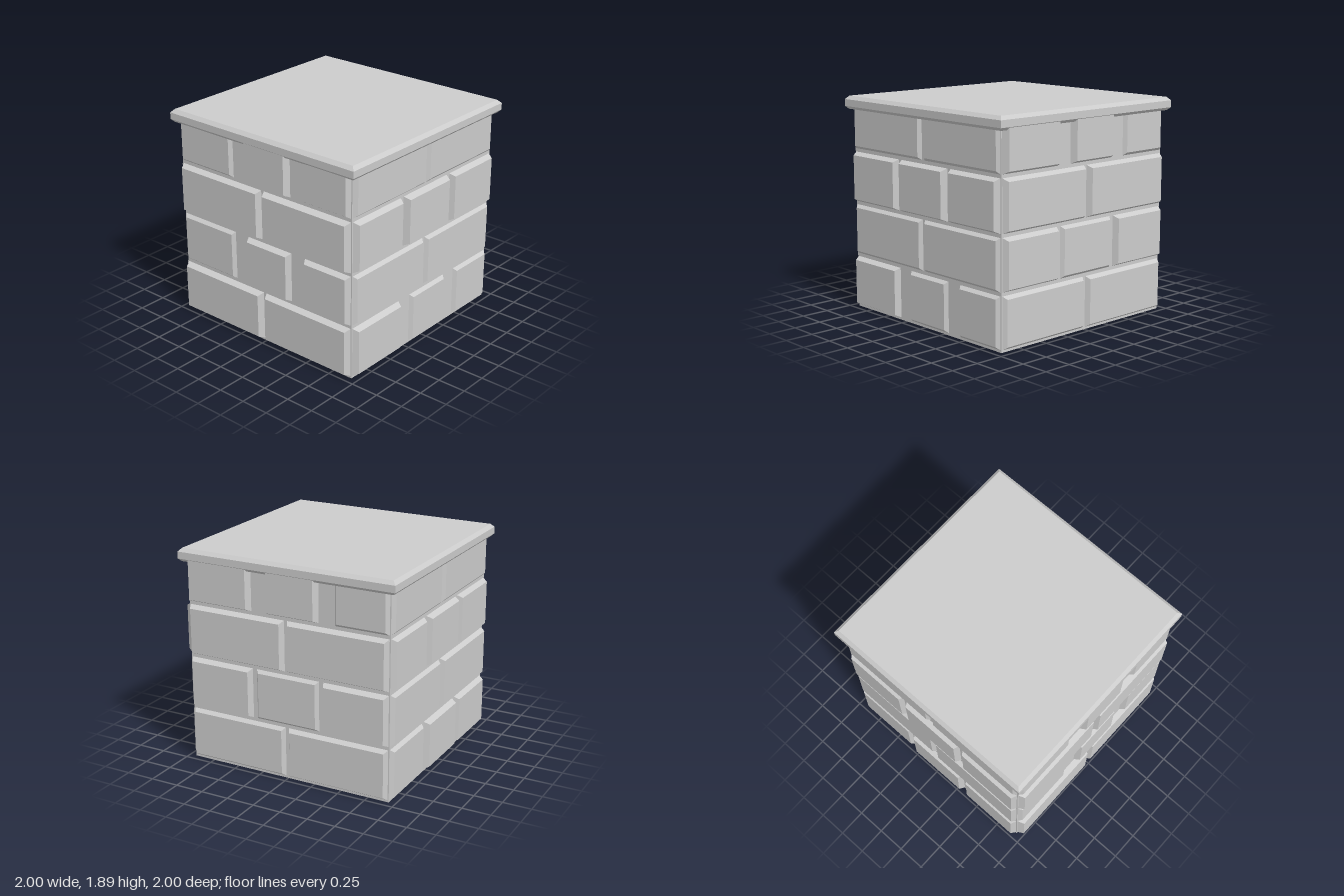
import * as THREE from 'three';

const material = new THREE.MeshStandardMaterial({ color: 0xcccccc, flatShading: true });
const CORE = 0.94;    // half width of the core
const BEVEL = 0.025;  // inset of each brick face

// Brick layouts along a wall: [start, end] pairs
const TWO = [[-0.93, -0.02], [0.01, 0.93]];
const THREE_EVEN = [[-0.93, -0.33], [-0.29, 0.30], [0.34, 0.93]];
const THREE_GAPS = [[-0.93, -0.33], [-0.18, 0.30], [0.45, 0.93]];

// Walls: courses from bottom to top, with the face depth of each brick
const WALLS = [
  { name: 'frontWall', angle: 0, courses: [
    [THREE_GAPS, [0.99, 0.97, 0.97]], [TWO, [0.97, 0.97]],
    [THREE_EVEN, [0.99, 0.995, 0.99]], [TWO, [0.97, 0.965]]] },
  { name: 'leftWall', angle: Math.PI / 2, courses: [
    [TWO, [0.975, 0.98]], [THREE_EVEN, [0.99, 0.97, 0.99]],
    [TWO, [0.99, 0.99]], [THREE_GAPS, [0.995, 0.995, 0.97]]] },
  { name: 'backWall', angle: Math.PI, courses: [
    [THREE_EVEN, [0.97, 0.99, 0.985]], [TWO, [0.97, 0.98]],
    [THREE_EVEN, [0.98, 0.99, 0.985]], [TWO, [0.965, 0.965]]] },
  { name: 'rightWall', angle: -Math.PI / 2, courses: [
    [TWO, [0.995, 0.99]], [THREE_GAPS, [0.97, 0.99, 0.985]],
    [TWO, [0.99, 0.995]], [THREE_GAPS, [0.97, 0.995, 0.98]]] },
];

// Block whose front face is inset on all four edges
function brickGeometry(x0, x1, y0, y1, depth) {
  const w = x1 - x0, h = y1 - y0;
  const geometry = new THREE.BoxGeometry(w, h, depth - CORE);
  const p = geometry.attributes.position;
  for (let i = 0; i < p.count; i++) {
    if (p.getZ(i) > 0) {
      p.setX(i, p.getX(i) * (1 - 2 * BEVEL / w));
      p.setY(i, p.getY(i) * (1 - 2 * BEVEL / h));
    }
  }
  geometry.translate((x0 + x1) / 2, (y0 + y1) / 2, (depth + CORE) / 2);
  geometry.computeVertexNormals();
  return geometry;
}

function createWall({ name, angle, courses }) {
  const wall = new THREE.Group();
  wall.name = name;
  courses.forEach(([layout, depths], row) => {
    const y = 0.02 + row * 0.47;
    layout.forEach(([x0, x1], i) => {
      const brick = new THREE.Mesh(brickGeometry(x0, x1, y, y + 0.44, depths[i]), material);
      brick.name = 'brick';
      wall.add(brick);
    });
  });
  wall.rotation.y = angle;
  return wall;
}

export function createModel() {
  const model = new THREE.Group();
  model.name = 'brickPillar';

  // Solid core behind the bricks
  const core = new THREE.Mesh(new THREE.BoxGeometry(2 * CORE, 1.8, 2 * CORE), material);
  core.position.y = 0.9;
  core.name = 'core';
  model.add(core);

  // Four brick walls
  for (const wall of WALLS) model.add(createWall(wall));

  // Square cap slab with bevelled edges, swept with four sides
  const profile = [[0, 1.775], [0.975, 1.775], [1, 1.8], [1, 1.86], [0.97, 1.89], [0, 1.89]]
    .map(([r, y]) => new THREE.Vector2(r * Math.SQRT2, y));
  const cap = new THREE.Mesh(new THREE.LatheGeometry(profile, 4, Math.PI / 4), material);
  cap.name = 'cap';
  model.add(cap);

  return model;
}
